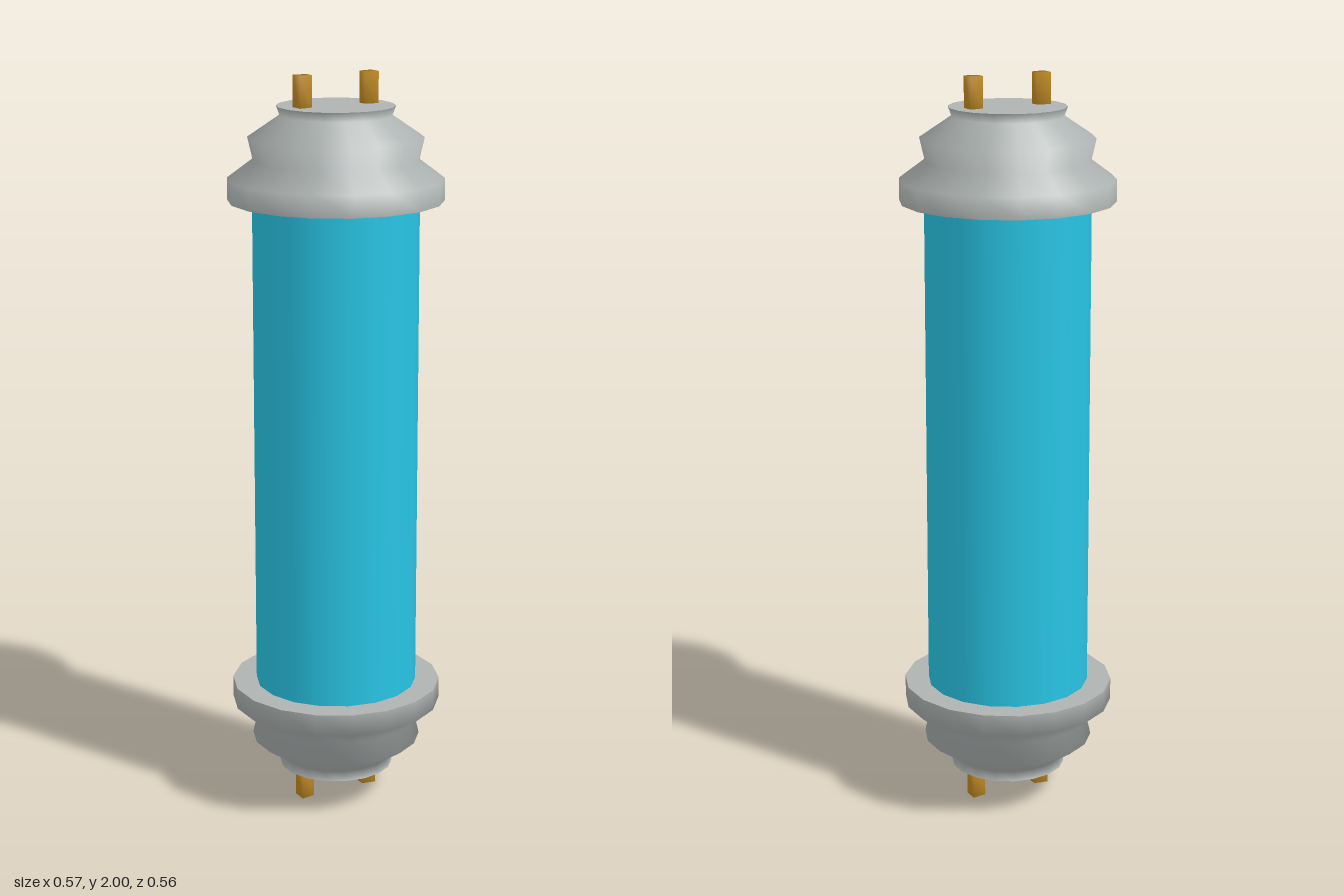
import * as THREE from 'three';
import { mergeVertices } from 'three/addons/utils/BufferGeometryUtils.js';

const SIDES = 18;
const material = (name, color, side = THREE.FrontSide) => {
  const m = new THREE.MeshStandardMaterial({ color, side });
  m.name = name;
  return m;
};

// Turned surface with corners on the x axis
function turned(name, profile, mat) {
  const points = profile.map(([r, y]) => new THREE.Vector2(r, y));
  const mesh = new THREE.Mesh(new THREE.LatheGeometry(points, SIDES, Math.PI / 2), mat);
  mesh.name = name;
  return mesh;
}

// Stepped end cap: smooth shell with flat inner rim and outer end
function makeCap(name, mat) {
  const cap = new THREE.Group();
  cap.name = name;
  const h = 0.247;
  cap.add(
    turned('capShell', [[0.285, 0], [0.285, 0.058], [0.218, 0.108], [0.231, 0.165], [0.147, 0.222], [0.156, h]], mat),
    turned('capRim', [[0.2, 0], [0.285, 0]], mat),
    turned('capEnd', [[0.156, h], [0, h]], mat)
  );
  return cap;
}

// Four-sided contact pin with soft shading
function makePinGeometry() {
  const outline = [[0.013, 0.078], [0.038, 0.07], [0.057, 0.104], [0.02, 0.117]];
  const shape = new THREE.Shape(outline.map(([x, y]) => new THREE.Vector2(x, y)));
  let geo = new THREE.ExtrudeGeometry(shape, { depth: 0.09, bevelEnabled: false });
  geo.rotateX(-Math.PI / 2);
  geo.deleteAttribute('uv');
  geo.deleteAttribute('normal');
  geo = mergeVertices(geo);
  geo.computeVertexNormals();
  return geo;
}

export function createModel() {
  const model = new THREE.Group();
  model.name = 'powerCell';
  const grey = material('capGrey', 0xaeb4b3);
  const cyan = material('tubeCyan', 0x28c4e4);
  const gold = material('pinGold', 0xc08a22);

  // Central tube
  model.add(turned('tube', [[0.22, 0.3], [0.22, 1.7]], cyan));

  // End caps
  const topCap = makeCap('topCap', grey);
  topCap.position.y = 1.67;
  const bottomCap = makeCap('bottomCap', grey);
  bottomCap.position.y = 0.335;
  bottomCap.rotation.x = Math.PI;
  model.add(topCap, bottomCap);

  // Two pins on each end, half a turn apart
  const pinGeometry = makePinGeometry();
  for (const [end, y] of [['top', 1.91], ['bottom', 0]]) {
    for (const turn of [0, Math.PI]) {
      const pin = new THREE.Mesh(pinGeometry, gold);
      pin.name = end + (turn ? 'FrontPin' : 'BackPin');
      pin.position.y = y;
      pin.rotation.y = turn;
      model.add(pin);
    }
  }
  return model;
}
